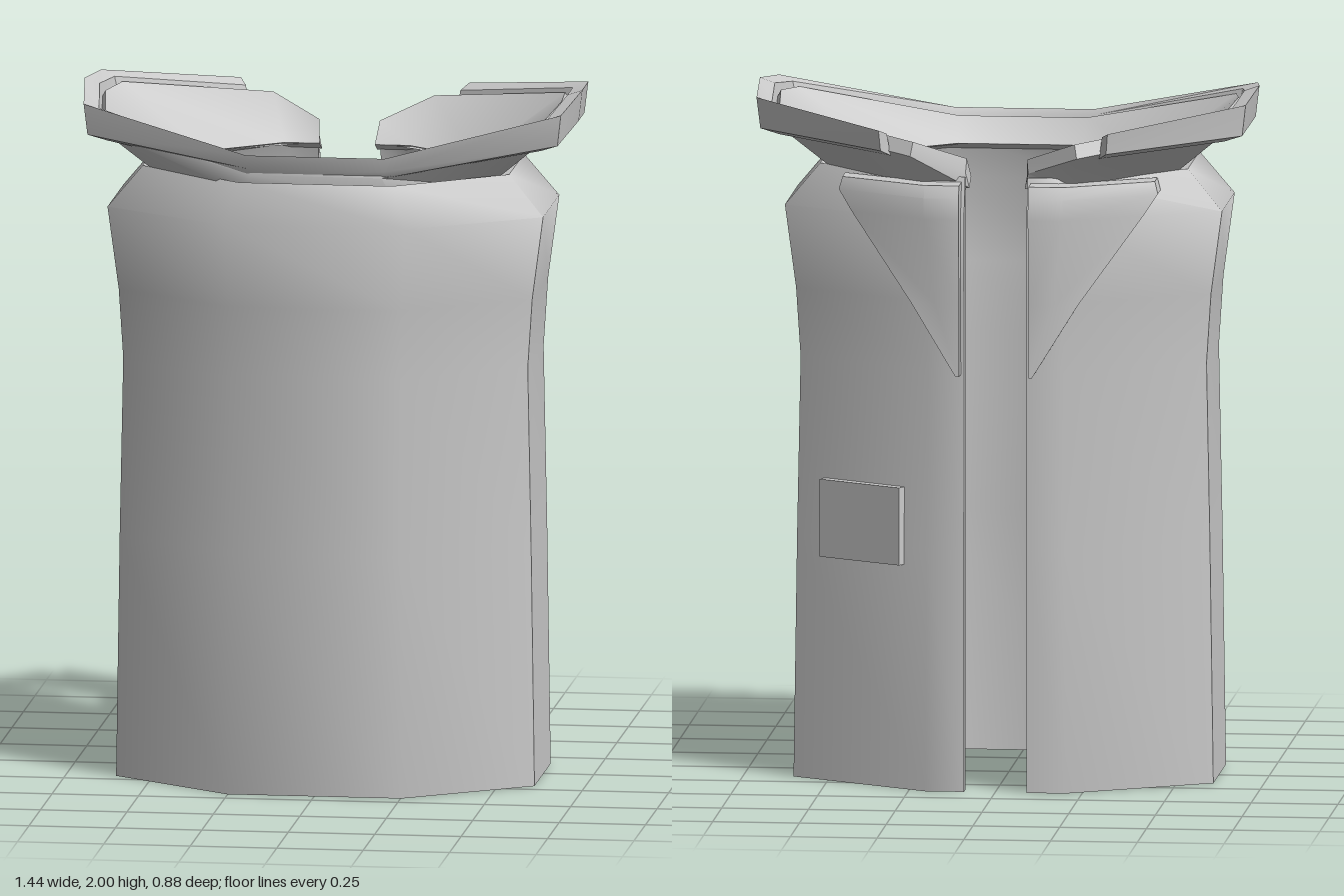
import * as THREE from 'three';
import { toCreasedNormals } from 'three/addons/utils/BufferGeometryUtils.js';

const material = new THREE.MeshStandardMaterial({ color: 0xcccccc });

// Closed cross-sections joined in order, capped at both ends
function loft(name, sections, crease = 0.95) {
  const n = sections[0].length, last = sections.length - 1;
  const tris = [];
  for (let i = 0; i < last; i++) {
    for (let j = 0; j < n; j++) {
      const k = (j + 1) % n;
      const a = sections[i][j], b = sections[i][k], c = sections[i + 1][k], d = sections[i + 1][j];
      tris.push([a, b, c], [a, c, d]);
    }
  }
  // Caps are triangulated so that bent wall sections fill correctly
  for (const end of [0, last]) {
    const s = sections[end];
    const span = (q) => Math.max(...s.map((p) => p[q])) - Math.min(...s.map((p) => p[q]));
    const drop = [0, 1, 2].reduce((m, q) => (span(q) < span(m) ? q : m), 0);
    const [u, v] = [0, 1, 2].filter((q) => q !== drop);
    const flat = s.map((p) => new THREE.Vector2(p[u], p[v]));
    const reversed = THREE.ShapeUtils.isClockWise(flat);
    const faces = THREE.ShapeUtils.triangulateShape(flat, []);
    for (const [a, b, c] of faces) {
      // Match the loop order: start cap reversed, end cap forward
      const forward = (end === last) !== reversed;
      tris.push(forward ? [s[a], s[b], s[c]] : [s[a], s[c], s[b]]);
    }
  }
  // Turn the faces outward if the loops ran the other way
  let volume = 0;
  for (const [a, b, c] of tris) {
    volume += new THREE.Vector3(...a).dot(new THREE.Vector3(...b).cross(new THREE.Vector3(...c)));
  }
  if (volume < 0) tris.forEach((t) => t.reverse());
  const geometry = new THREE.BufferGeometry();
  geometry.setAttribute('position', new THREE.Float32BufferAttribute(tris.flat(2), 3));
  const mesh = new THREE.Mesh(toCreasedNormals(geometry, crease), material);
  mesh.name = name;
  return mesh;
}

const flipX = (section) => section.map(([x, y, z]) => [-x, y, z]);
const bothHalves = (half) => [...half, ...half.slice().reverse().map(flipX)];

function createBody() {
  // Half outline from the back slit to the front, as x and share of the depth
  const outline = [[0.09, -1], [0.2, -1], [0.6, -0.4], [0.6, 0.45], [0.25, 1]];
  // Height, half width, front depth, back depth
  const levels = [
    [0, 0.605, 0.44, 0.385], [0.7, 0.595, 0.435, 0.38], [1.22, 0.585, 0.43, 0.375],
    [1.42, 0.598, 0.43, 0.378], [1.66, 0.63, 0.44, 0.385], [1.78, 0.53, 0.41, 0.35],
    [1.765, 0.46, 0.37, 0.32],
  ];
  const at = ([x, d], [y, w, front, back], k) => [
    x < 0.1 ? x : (x / 0.6) * w * k, y, d * (d > 0 ? front : back) * k,
  ];
  const half = outline.map((p) => [
    ...levels.map((l) => at(p, l, 1)),
    ...levels.slice().reverse().map((l) => at(p, l, 0.9)),
  ]);
  return loft('body', bothHalves(half));
}

function createCollar() {
  // Neck base (x, z) and flared top (x, y, z), from the back opening to the front
  const points = [
    [0.08, -0.275, 0.09, 1.83, -0.34], [0.18, -0.275, 0.24, 1.89, -0.435],
    [0.39, -0.115, 0.66, 1.95, -0.21], [0.39, 0.02, 0.68, 1.965, 0.02],
    [0.39, 0.155, 0.65, 1.94, 0.25], [0.18, 0.32, 0.19, 1.84, 0.4],
  ];
  const half = points.map(([bx, bz, tx, ty, tz]) => {
    const k = bx < 0.1 ? 1 : 1.2;
    return [
      [bx, 1.77, bz], [bx * k, 1.745, bz * 1.2],
      [tx, ty - 0.04, tz], [tx * 0.97, ty, tz * 0.97],
    ];
  });
  return loft('collar', bothHalves(half), 0.8);
}

function createCollarRim() {
  // Outer top edge of the folded rim, then how far its lower edge hangs
  const points = [
    [0.33, 1.925, -0.445, 0.06], [0.705, 1.98, -0.22, 0.09], [0.72, 2.0, 0.02, 0.09],
    [0.69, 1.97, 0.265, 0.09], [0.2, 1.86, 0.415, 0.04],
  ];
  const half = points.map(([x, y, z, hang], i) => {
    const kx = i === 4 ? 1 : 0.91, kz = i === 4 ? 0.95 : 0.88;
    return [
      [x, y, z],
      [x * 0.985, y - hang, z * 0.98],
      [x * kx, y - hang - 0.02, z * kz],
      [x * (kx + 0.03), y - 0.015, z * (kz + 0.03)],
    ];
  });
  return loft('collarRim', bothHalves(half), 0.6);
}

function createLapel(side) {
  // Height, outer end of the flap, back face z
  const rows = [[1.21, 0.11, -0.425], [1.42, 0.24, -0.425], [1.67, 0.42, -0.443], [1.73, 0.46, -0.44], [1.765, 0.45, -0.425]];
  const sections = rows.map(([y, end, z]) => {
    const xs = [0.1, Math.min(0.2, (0.1 + end) / 2), end];
    const depth = (x) => z + Math.max(0, x - 0.2) * 0.56;
    const section = [
      ...xs.map((x) => [x, y, depth(x)]),
      ...xs.slice().reverse().map((x) => [x, y, depth(x) + 0.075]),
    ];
    return side > 0 ? section : flipX(section);
  });
  return loft(side > 0 ? 'leftLapel' : 'rightLapel', sections, 0.6);
}

export function createModel() {
  const model = new THREE.Group();
  model.name = 'collaredVest';
  model.add(createBody(), createCollar(), createCollarRim(), createLapel(1), createLapel(-1));

  // Patch on the slanted left back panel
  const patch = new THREE.Mesh(new THREE.BoxGeometry(0.28, 0.225, 0.045), material);
  patch.name = 'backPatch';
  patch.position.set(0.39, 0.763, -0.273);
  patch.rotation.y = -0.52;
  model.add(patch);
  return model;
}
